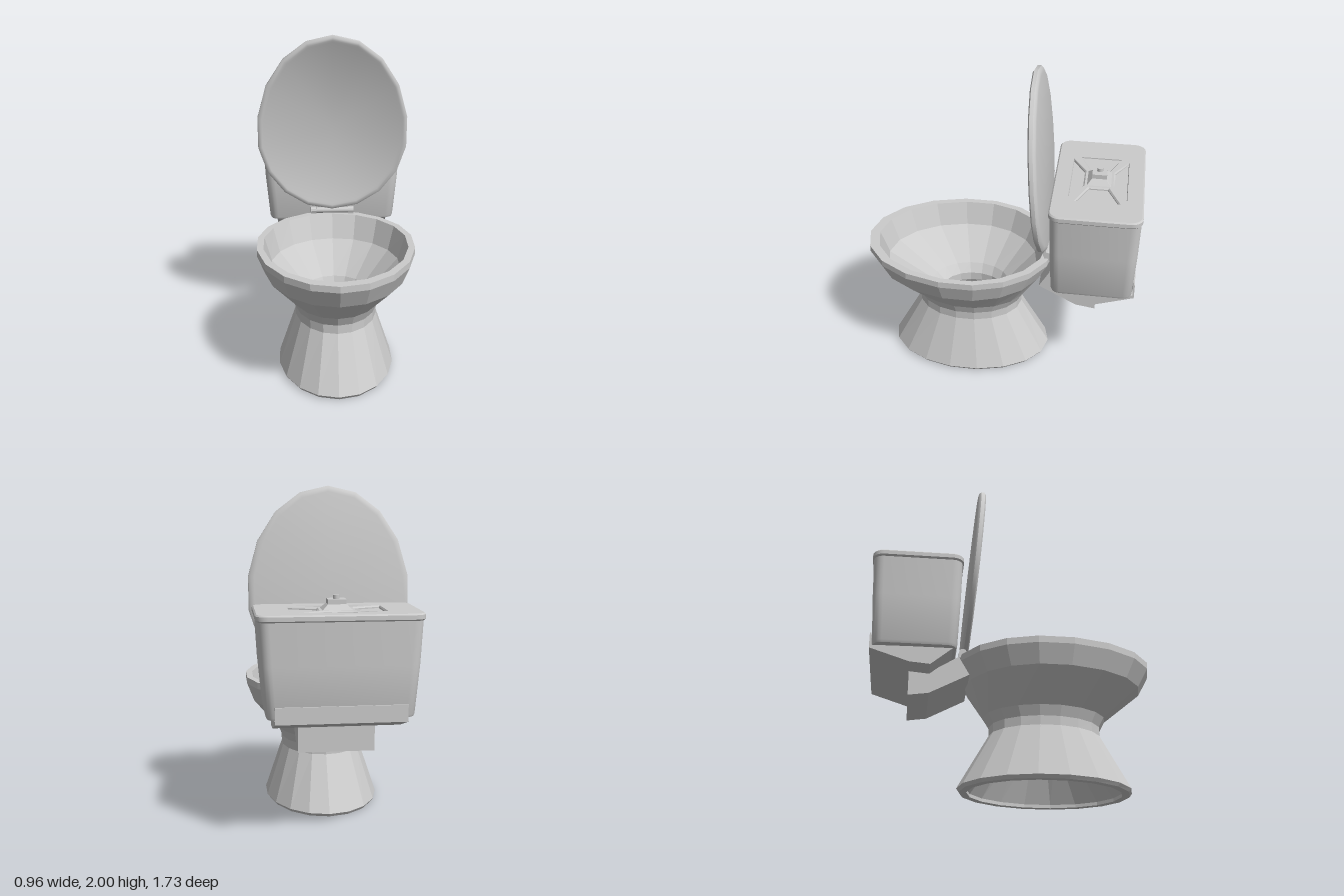
import * as THREE from 'three';
import { toCreasedNormals } from 'three/addons/utils/BufferGeometryUtils.js';

const flat = new THREE.MeshStandardMaterial({ color: 0xcccccc, flatShading: true, side: THREE.DoubleSide });
const smooth = new THREE.MeshStandardMaterial({ color: 0xcccccc, side: THREE.DoubleSide });

// Egg-shaped ring: half width rx, reach zf to the front and zb to the back of centre cz
function eggRing(y, rx, zf, zb, cz = 0, n = 18) {
  return Array.from({ length: n }, (_, i) => {
    const a = (i / n) * Math.PI * 2, c = Math.cos(a);
    return new THREE.Vector3(rx * Math.sin(a), y, cz + c * (c > 0 ? zf : zb));
  });
}

// Rounded rectangle ring
function boxRing(y, hx, hz, r, seg = 5) {
  const pts = [];
  [[1, 1], [1, -1], [-1, -1], [-1, 1]].forEach(([sx, sz], k) => {
    for (let i = 0; i <= seg; i++) {
      const a = (k + i / seg) * Math.PI / 2;
      pts.push(new THREE.Vector3(sx * (hx - r) + r * Math.sin(a), y, sz * (hz - r) + r * Math.cos(a)));
    }
  });
  return pts;
}

// Skin over a list of rings, with optional end caps
function loft(rings, caps = false) {
  const n = rings[0].length, pts = rings.flat(), idx = [];
  for (let i = 0; i < rings.length - 1; i++) {
    for (let j = 0; j < n; j++) {
      const k = (j + 1) % n;
      const a = i * n + j, b = i * n + k, c = b + n, d = a + n;
      idx.push(a, b, c, a, c, d);
    }
  }
  if (caps) {
    [0, rings.length - 1].forEach((r, end) => {
      const centre = new THREE.Vector3();
      rings[r].forEach((p) => centre.addScaledVector(p, 1 / n));
      const m = pts.push(centre) - 1;
      for (let j = 0; j < n; j++) {
        const a = r * n + j, b = r * n + ((j + 1) % n);
        idx.push(m, end ? a : b, end ? b : a);
      }
    });
  }
  const g = new THREE.BufferGeometry().setFromPoints(pts);
  g.setIndex(idx);
  g.computeVertexNormals();
  return g;
}

// Side profile given as (z, y) points, extruded across x
function sideProfile(points, width) {
  const shape = new THREE.Shape(points.map(([z, y]) => new THREE.Vector2(z, y)));
  const g = new THREE.ExtrudeGeometry(shape, { depth: width, bevelEnabled: false });
  return g.translate(0, 0, -width / 2).rotateY(-Math.PI / 2);
}

export function createModel() {
  const model = new THREE.Group();
  const add = (name, geometry, material = flat, parent = model) => {
    const mesh = new THREE.Mesh(geometry, material);
    mesh.name = name;
    parent.add(mesh);
    return mesh;
  };

  // Bowl and pedestal: up the outside, over the rim and down the inside
  const bowl = [
    [0, 0.345, 0.505, 0.505], [0.02, 0.36, 0.52, 0.52], [0.345, 0.252, 0.34, 0.335],
    [0.40, 0.254, 0.34, 0.335], [0.46, 0.278, 0.372, 0.37], [0.645, 0.44, 0.595, 0.485],
    [0.76, 0.485, 0.658, 0.545], [0.80, 0.485, 0.658, 0.545],
    [0.80, 0.445, 0.595, 0.495], [0.65, 0.40, 0.54, 0.43], [0.46, 0.215, 0.26, 0.25],
    [0.40, 0.178, 0.20, 0.225], [0.345, 0.178, 0.20, 0.225], [0.02, 0.31, 0.46, 0.46],
    [0, 0.31, 0.46, 0.46], [0, 0.345, 0.505, 0.505],
  ];
  add('bowl', loft(bowl.map(([y, rx, zf, zb]) => eggRing(y, rx, zf, zb, 0.205))));

  // Raised seat lid, rounded at the edge and leaning slightly forward
  const lidProfile = [[0.006, 0.04], [0, 0.028], [0, 0.012], [0.008, 0], [0.03, 0], [0.042, 0.014], [0.047, 0.035]];
  const lid = loft(lidProfile.map(([y, s]) => eggRing(y, 0.483 - s, 0.635 - s, 0.525 - s)), true);
  const seatLid = add('seatLid', toCreasedNormals(lid, 0.75), smooth);
  seatLid.rotation.x = -Math.PI / 2 + 0.078;
  seatLid.position.set(0, 1.365, -0.2245);

  // Hinge: middle barrel with a knuckle on each side
  const hinge = new THREE.Group();
  hinge.name = 'hinge';
  hinge.position.set(0, 0.823, -0.302);
  model.add(hinge);
  add('hingeBarrel', new THREE.CylinderGeometry(0.019, 0.019, 0.21, 10).rotateZ(Math.PI / 2), smooth, hinge);
  for (const s of [-1, 1]) {
    const knuckle = new THREE.CylinderGeometry(0.023, 0.023, 0.036, 10).rotateZ(Math.PI / 2);
    add('hingeKnuckle', knuckle, flat, hinge).position.x = s * 0.124;
    add('hingeFoot', new THREE.BoxGeometry(0.036, 0.03, 0.04), flat, hinge).position.set(s * 0.124, -0.02, -0.004);
  }

  // Tank, narrower towards the bottom
  const tank = new THREE.Group();
  tank.name = 'tank';
  tank.position.z = -0.593;
  model.add(tank);
  const body = loft([
    boxRing(0.745, 0.405, 0.238, 0.05), boxRing(0.76, 0.412, 0.244, 0.055),
    boxRing(1.04, 0.438, 0.257, 0.06), boxRing(1.29, 0.452, 0.263, 0.06),
  ], true);
  add('tankBody', toCreasedNormals(body, 0.6), smooth, tank);

  // Tank cover with four sunken trapezoid panels
  const toShape = (pts, Type) => new Type(pts.map(([x, y]) => new THREE.Vector2(x, y)));
  const cover = toShape(boxRing(0, 0.455, 0.262, 0.06).map((p) => [p.x, -p.z]), THREE.Shape);
  for (const s of [-1, 1]) {
    cover.holes.push(
      toShape([[s * 0.27, -0.135], [s * 0.27, 0.135], [s * 0.1, 0.062], [s * 0.1, -0.062]], THREE.Path),
      toShape([[-0.225, s * 0.172], [0.225, s * 0.172], [0.085, s * 0.085], [-0.085, s * 0.085]], THREE.Path));
  }
  const coverGeometry = new THREE.ExtrudeGeometry(cover, {
    depth: 0.024, bevelThickness: 0.008, bevelSize: 0.008, bevelOffset: 0, bevelSegments: 1,
  }).rotateX(-Math.PI / 2);
  add('tankCover', toCreasedNormals(coverGeometry, 0.5), smooth, tank).position.y = 1.288;
  add('coverPanels', new THREE.BoxGeometry(0.6, 0.02, 0.4), flat, tank).position.y = 1.295;

  // Flush button on a small stepped mount
  const mount = loft([boxRing(1.315, 0.09, 0.076, 0.001, 1), boxRing(1.35, 0.052, 0.044, 0.001, 1)], true);
  add('buttonMount', mount, flat, tank);
  add('buttonBase', new THREE.BoxGeometry(0.104, 0.03, 0.088), flat, tank).position.y = 1.362;
  add('flushButton', new THREE.CylinderGeometry(0.018, 0.018, 0.025, 10), smooth, tank).position.y = 1.385;

  // Wedge-shaped support under the tank, with an upright lip at the back
  add('tankSupport', sideProfile([
    [-0.37, 0.748], [-0.5, 0.64], [-0.62, 0.65], [-0.852, 0.725], [-0.852, 0.82],
    [-0.842, 0.82], [-0.842, 0.742],
  ], 0.73));

  // Square duct joining the tank to the bowl
  add('duct', sideProfile([
    [-0.33, 0.757], [-0.265, 0.645], [-0.5, 0.52], [-0.62, 0.503], [-0.62, 0.655], [-0.5, 0.65],
  ], 0.44));

  return model;
}
